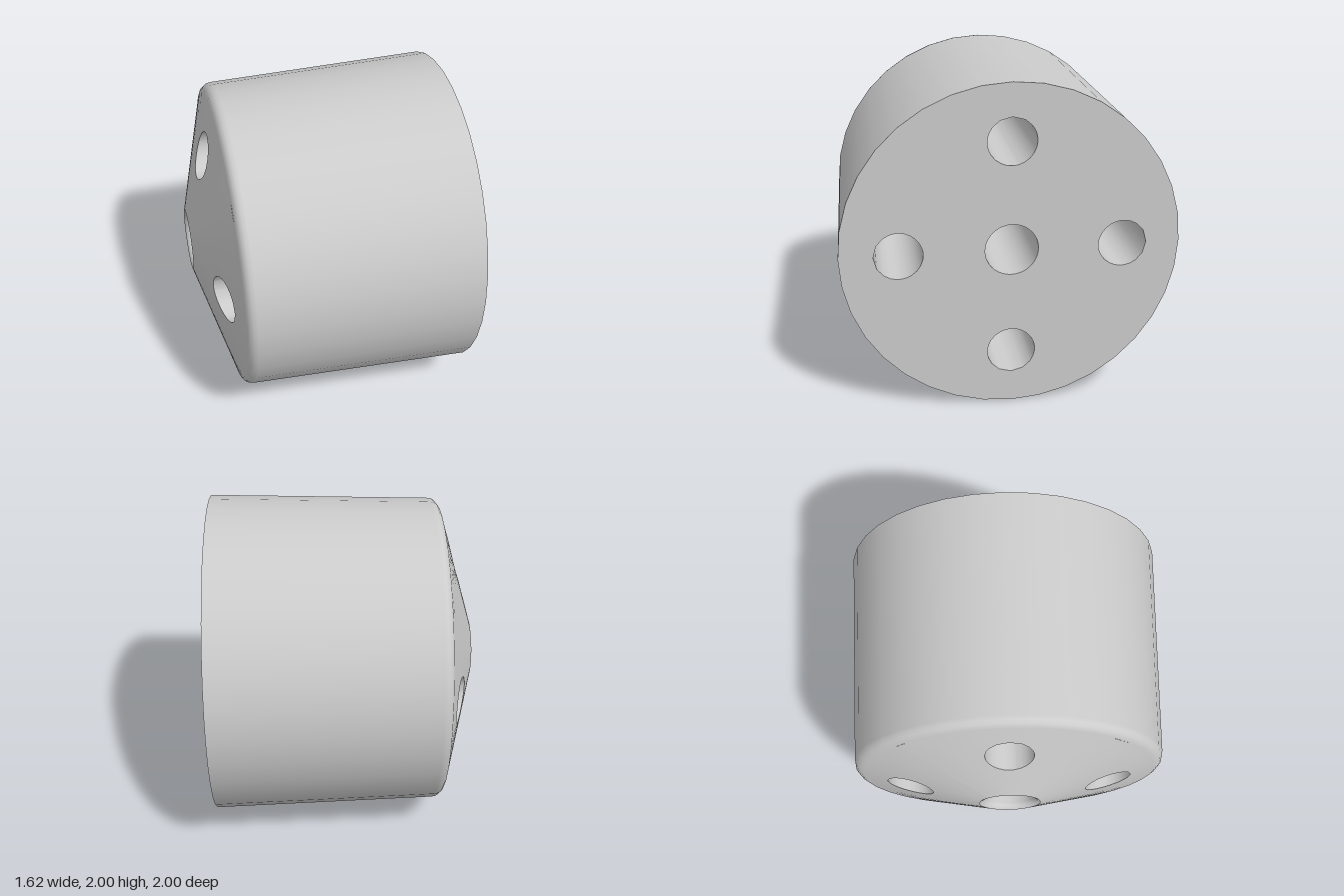
import * as THREE from 'three';

const SIDES = 36, FACE_X = 0.81;
const BORE_R = 0.157, LIP_R = 0.19, RIM_R = 0.9;
const HOLE_R = 0.143, HOLE_FACE = 0.658, HOLE_CONE = 0.62; // holes lean inward with the taper
const rad = THREE.MathUtils.degToRad;
const coneX = r => -0.813 + (r - LIP_R) * 0.2 / (RIM_R - LIP_R);

// Skin closed rings of Vector3 with smooth normals
function loft(rings) {
  const n = rings[0].length, index = [];
  for (let j = 0; j < rings.length - 1; j++) {
    for (let i = 0; i < n; i++) {
      const a = j * n + i, b = j * n + (i + 1) % n;
      index.push(a, b, a + n, b, b + n, a + n);
    }
  }
  const g = new THREE.BufferGeometry().setFromPoints(rings.flat());
  g.setIndex(index);
  g.computeVertexNormals();
  return g;
}

// Surface of revolution about the x axis from [radius, x] pairs
function turned(profile) {
  const g = new THREE.LatheGeometry(profile.map(p => new THREE.Vector2(...p)), SIDES);
  return g.rotateZ(-Math.PI / 2);
}

// Outline of a quarter of the cone, as [radial, sideways] points
function quarterOutline() {
  const angles = [-45, -40, -30, -20, -10, 0, 10, 20, 30, 40, 45];
  const polar = (r, a) => {
    const k = Math.abs(a) === 45 ? r * Math.cos(rad(5)) : r; // lies on the chord
    return [k * Math.cos(rad(a)), k * Math.sin(rad(a))];
  };
  const steps = 6, out = angles.map(a => polar(RIM_R, a));
  const radius = i => THREE.MathUtils.lerp(RIM_R, LIP_R, i / steps);
  for (let i = 1; i < steps; i++) out.push(polar(radius(i), 45));
  out.push(...angles.slice().reverse().map(a => polar(LIP_R, a)));
  for (let i = steps - 1; i > 0; i--) out.push(polar(radius(i), -45));
  return out;
}

export function createModel() {
  const model = new THREE.Group();
  const material = new THREE.MeshStandardMaterial({ color: 0xcccccc });
  const add = (name, geometry) => {
    const mesh = new THREE.Mesh(geometry, material);
    mesh.name = name;
    mesh.position.y = 1;
    model.add(mesh);
  };

  // Tapered body with a rounded rim
  add('taperedBody', turned([[RIM_R, -0.613], [0.925, -0.607], [0.945, -0.593],
    [0.958, -0.575], [0.963, -0.55], [1, FACE_X]]));

  // Central bore with a rounded lip
  add('centralBore', turned([[BORE_R, FACE_X], [BORE_R, -0.775], [0.161, -0.79],
    [0.171, -0.805], [LIP_R, -0.813]]));

  // Flat end face
  const face = new THREE.Shape();
  const circle = r => Array.from({ length: SIDES }, (_, i) => {
    const a = i * 2 * Math.PI / SIDES;
    return new THREE.Vector2(r * Math.cos(a), r * Math.sin(a));
  });
  face.setFromPoints(circle(1));
  face.holes.push(new THREE.Path(circle(BORE_R)));

  // Four quarters of the cone, each with its drilled hole
  const outline = quarterOutline();
  const dirs = outline.map(([s, t]) => Math.atan2(t, s - HOLE_CONE));
  const holeRing = c => dirs.map(d => [c + HOLE_R * Math.cos(d), HOLE_R * Math.sin(d)]);
  const inner = holeRing(HOLE_CONE), outer = holeRing(HOLE_FACE);
  const ROWS = 5;
  for (let q = 0; q < 4; q++) {
    const cs = Math.round(Math.cos(q * Math.PI / 2)), sn = Math.round(Math.sin(q * Math.PI / 2));
    const place = (s, t, x) => new THREE.Vector3(x, s * cs - t * sn, s * sn + t * cs);
    const onCone = (s, t) => place(s, t, coneX(Math.hypot(s, t)));

    const rows = [];
    for (let j = 0; j <= ROWS; j++) {
      const k = j / ROWS;
      rows.push(outline.map(([s, t], i) => onCone(
        THREE.MathUtils.lerp(inner[i][0], s, k), THREE.MathUtils.lerp(inner[i][1], t, k))));
    }
    add('coneQuarter' + (q + 1), loft(rows));

    const faceRing = outer.map(([s, t]) => place(s, t, FACE_X));
    add('holeWall' + (q + 1), loft([faceRing, rows[0]]));
    face.holes.push(new THREE.Path(faceRing.map(p => new THREE.Vector2(-p.z, p.y))));
  }
  add('flatFace', new THREE.ShapeGeometry(face).rotateY(Math.PI / 2).translate(FACE_X, 0, 0));

  return model;
}
